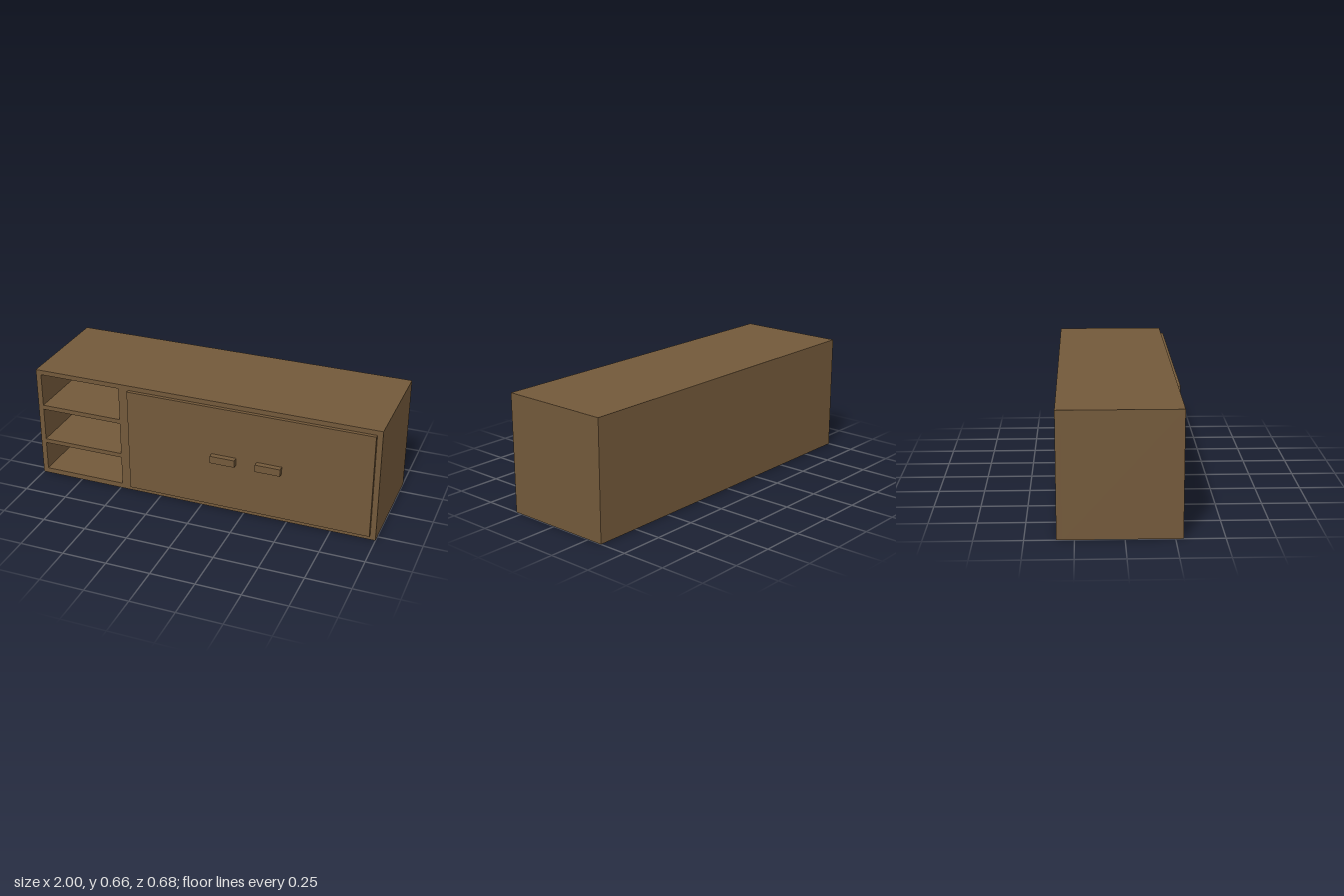
import * as THREE from 'three';

export function createModel() {
  const model = new THREE.Group();
  model.name = 'cabinet';
  const wood = new THREE.MeshStandardMaterial({ color: 0x73593a });
  wood.name = 'brown wood';

  const add = (name, geometry) => {
    const mesh = new THREE.Mesh(geometry, wood);
    mesh.name = name;
    model.add(mesh);
    return mesh;
  };
  // Box given by its minimum and maximum corners
  const box = (name, x0, x1, y0, y1, z0, z1) =>
    add(name, new THREE.BoxGeometry(x1 - x0, y1 - y0, z1 - z0))
      .position.set((x0 + x1) / 2, (y0 + y1) / 2, (z0 + z1) / 2);
  // Rectangular outline
  const rect = (path, x0, x1, y0, y1) => {
    path.moveTo(x0, y0);
    path.lineTo(x1, y0);
    path.lineTo(x1, y1);
    path.lineTo(x0, y1);
    path.closePath();
    return path;
  };

  const height = 0.663, back = -0.34, front = 0.29, board = 0.03;

  // Carcass: one frame with three open shelves and the door bay
  const outline = rect(new THREE.Shape(), -1, 1, 0, height);
  for (const [y0, y1] of [[0.03, 0.2], [0.225, 0.417], [0.443, 0.636]]) {
    outline.holes.push(rect(new THREE.Path(), -0.97, -0.49, y0, y1));
  }
  outline.holes.push(rect(new THREE.Path(), -0.43, 0.97, 0.03, 0.636));
  const carcass = new THREE.ExtrudeGeometry(outline, {
    depth: front - back - board, bevelEnabled: false,
  });
  add('carcass', carcass).position.z = back + board;

  // Back panel closing the carcass
  box('backPanel', -1, 1, 0, height, back, back + board);

  // Wide door standing slightly proud of the frame
  box('door', -0.43, 0.97, 0.03, 0.636, front - 0.02, 0.311);

  // Pair of bar handles
  for (const [name, x] of [['rightHandle', 0.14], ['leftHandle', 0.4]]) {
    box(name, x - 0.071, x + 0.071, 0.311, 0.353, 0.311, 0.342);
  }

  return model;
}
